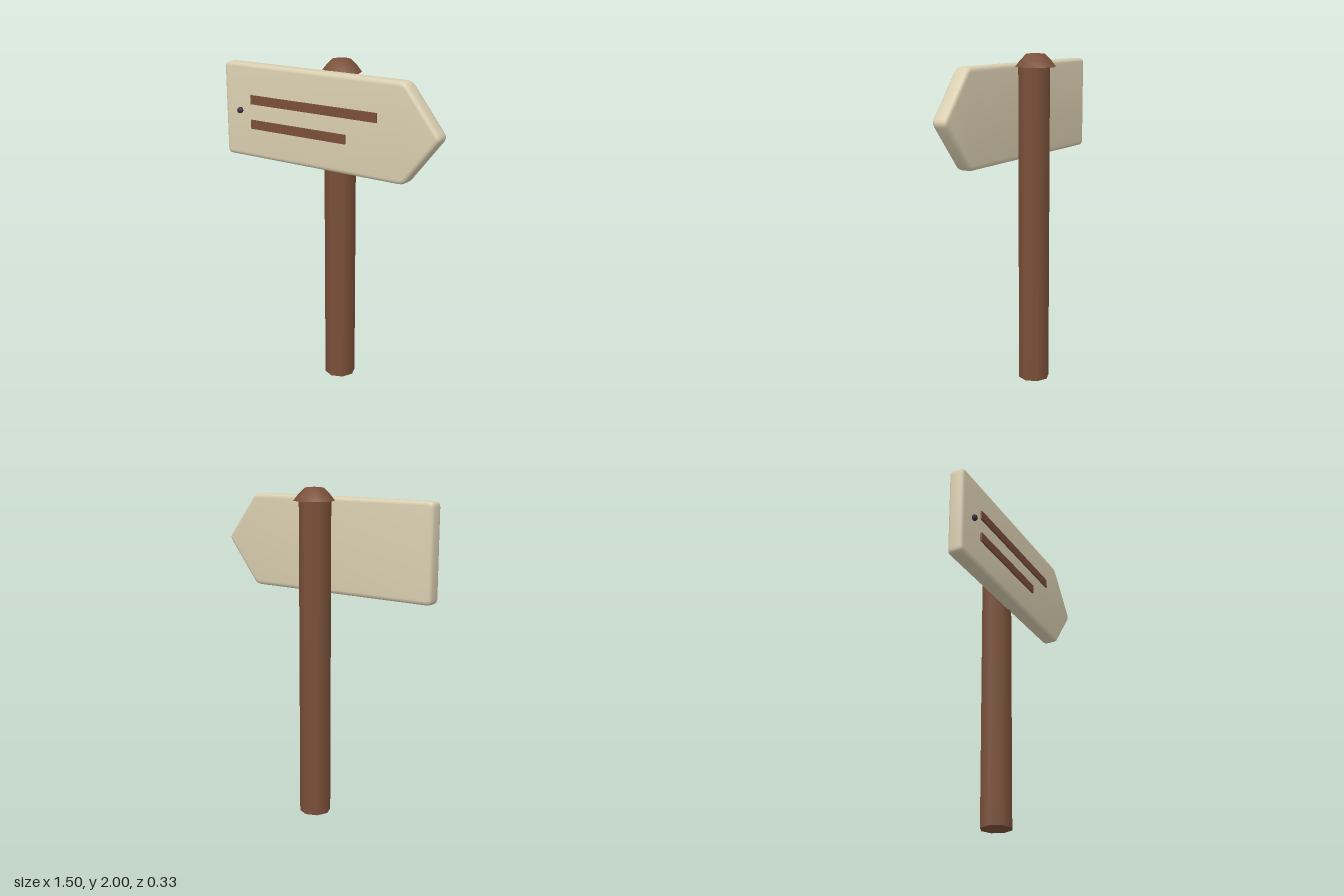
import * as THREE from 'three';
import { toCreasedNormals } from 'three/addons/utils/BufferGeometryUtils.js';

// Closed outline with every corner rounded by a short curve
function roundedOutline(corners, radius) {
  const shape = new THREE.Shape();
  const pts = corners.map(([x, y]) => new THREE.Vector2(x, y));
  pts.forEach((p, i) => {
    const prev = pts[(i + pts.length - 1) % pts.length];
    const next = pts[(i + 1) % pts.length];
    const a = prev.clone().sub(p).setLength(radius).add(p);
    const b = next.clone().sub(p).setLength(radius).add(p);
    if (i === 0) shape.moveTo(a.x, a.y);
    else shape.lineTo(a.x, a.y);
    shape.quadraticCurveTo(p.x, p.y, b.x, b.y);
  });
  shape.closePath();
  return shape;
}

export function createModel() {
  const material = (name, color) => {
    const m = new THREE.MeshStandardMaterial({ color });
    m.name = name;
    return m;
  };
  const brown = material('brown wood', 0x7a5039);
  const cream = material('cream board', 0xd9ceb0);
  const dark = material('dark metal', 0x3a3348);

  const group = new THREE.Group();
  group.name = 'signpost';
  const add = (name, geometry, mat, x, y, z) => {
    const mesh = new THREE.Mesh(geometry, mat);
    mesh.name = name;
    mesh.position.set(x, y, z);
    group.add(mesh);
    return mesh;
  };

  // Eight-sided post with a wider, flat-topped cap
  add('post', new THREE.CylinderGeometry(0.095, 0.095, 1.93, 8), brown, -0.007, 0.965, -0.036);
  const capProfile = [[0, 0], [0.122, 0], [0.122, 0], [0.094, 0.037], [0.056, 0.075], [0, 0.08]]
    .map(([r, y]) => new THREE.Vector2(r, y));
  add('cap', toCreasedNormals(new THREE.LatheGeometry(capProfile, 8), 1.0), brown, -0.007, 1.92, -0.045);

  // Arrow board pointing to +x, with softened edges
  const bevel = 0.022;
  const outline = roundedOutline(
    [[-0.75, 1.37], [0.53, 1.37], [0.758, 1.655], [0.53, 1.94], [-0.75, 1.94]], 0.032);
  const board = new THREE.ExtrudeGeometry(outline, {
    depth: 0.095 - 2 * bevel, bevelEnabled: true, bevelThickness: bevel,
    bevelSize: bevel, bevelOffset: -bevel, bevelSegments: 3, curveSegments: 4,
  });
  add('arrowBoard', toCreasedNormals(board, 0.7), cream, 0, 0, 0.04 + bevel);

  // Two thin strips standing in for writing
  for (const [right, y] of [[0.36, 1.728], [0.15, 1.578]]) {
    const left = -0.54;
    add('strip', new THREE.BoxGeometry(right - left, 0.054, 0.02), brown, (left + right) / 2, y, 0.136);
  }

  // Nail head near the square end
  add('nail', new THREE.SphereGeometry(0.02, 8, 6), dark, -0.625, 1.655, 0.143);

  return group;
}
